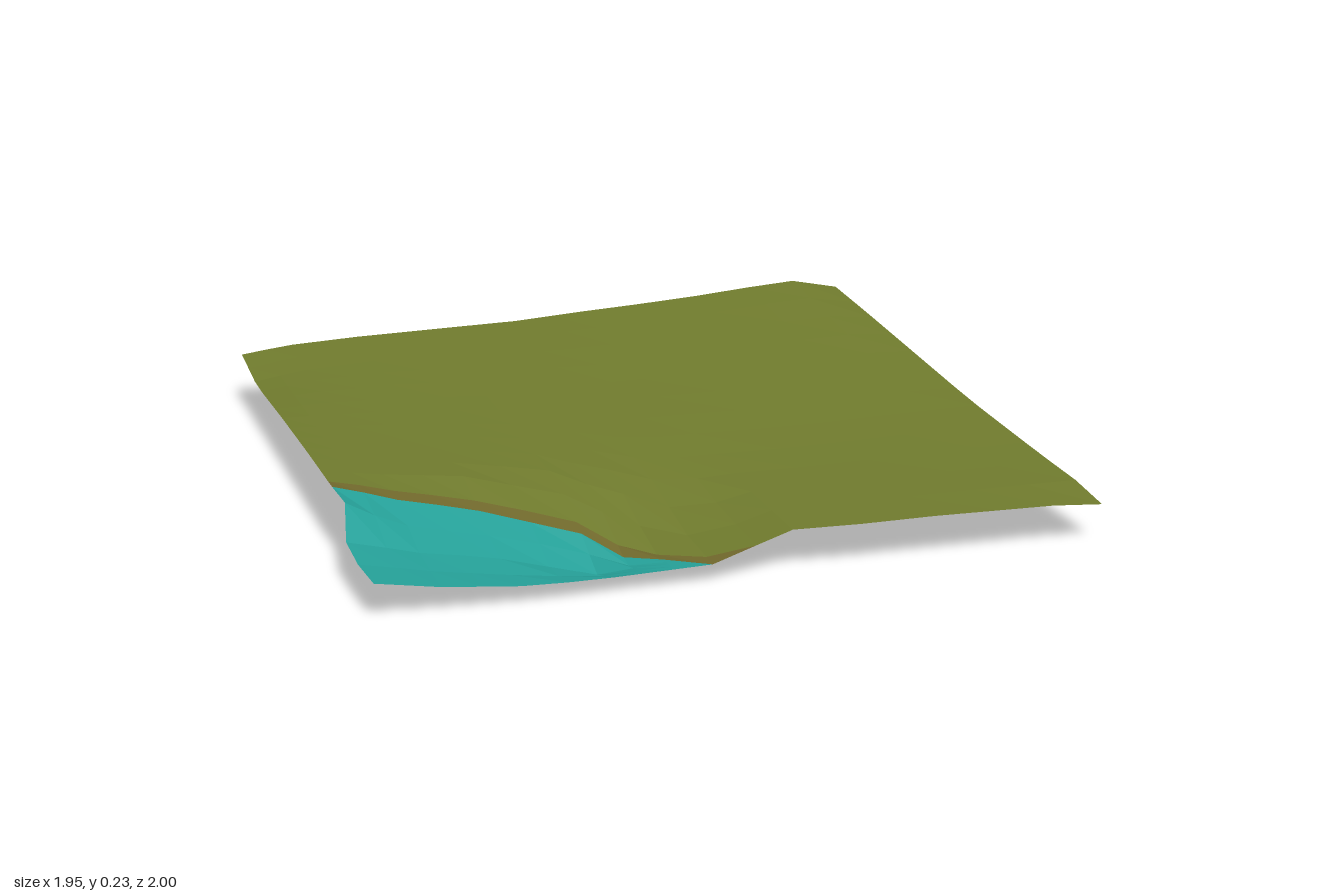
import * as THREE from 'three';

// Piecewise-linear lookup through [position, value] pairs
function curve(points, t) {
  if (t <= points[0][0]) return points[0][1];
  for (let i = 1; i < points.length; i++) {
    const [a, va] = points[i - 1], [b, vb] = points[i];
    if (t <= b) return va + (vb - va) * (t - a) / (b - a);
  }
  return points[points.length - 1][1];
}

// Outline of the sheet and the shoreline, as z over x
const backEdge = [[-1, -0.95], [0.2, -0.95], [0.4, -0.975], [0.72, -1], [0.84, -1], [0.97, -0.98]];
const frontEdge = [[-0.97, 0.995], [-0.48, 0.99], [-0.36, 0.98], [-0.1, 0.98], [0.12, 0.96], [0.35, 0.98]];
const shoreline = [[-0.97, 0.42], [-0.8, 0.5], [-0.6, 0.57], [-0.36, 0.69], [-0.28, 0.8], [-0.2, 0.88], [-0.1, 0.98]];
const leftEdge = [[0.4, -0.955], [0.57, -0.95], [0.74, -0.985], [1, -0.97]]; // x over z

// Ground heights: one row per z station, one value per x station
const xs = [-0.97, -0.8, -0.6, -0.36, -0.1, 0.12, 0.5, 0.83, 0.97];
const heights = [
  [-0.98, [0.15, 0.167, 0.175, 0.18, 0.185, 0.2, 0.21, 0.23, 0.205]],
  [-0.7, [0.12, 0.15, 0.165, 0.17, 0.175, 0.18, 0.19, 0.2, 0.19]],
  [-0.3, [0.14, 0.15, 0.155, 0.155, 0.155, 0.155, 0.16, 0.165, 0.165]],
  [0.1, [0.155, 0.15, 0.15, 0.145, 0.14, 0.135, 0.13, 0.135, 0.14]],
  [0.4, [0.162, 0.155, 0.15, 0.135, 0.12, 0.115, 0.12, 0.125, 0.13]],
  [0.57, [0.165, 0.125, 0.11, 0.1, 0.1, 0.115, 0.12, 0.12, 0.125]],
  [0.7, [0.11, 0.08, 0.07, 0.06, 0.06, 0.115, 0.12, 0.12, 0.122]],
  [0.83, [0.1, 0.07, 0.04, 0, 0.06, 0.115, 0.12, 0.12, 0.12]],
  [0.98, [0.1, 0.072, 0.052, 0.045, 0.052, 0.115, 0.12, 0.115, 0.105]],
];
const heightAt = (x, z) =>
  curve(heights.map(([rowZ, row]) => [rowZ, curve(row.map((y, i) => [xs[i], y]), x)]), z);

// Columns of the sheet, and rows in each of its three bands
const columns = [-0.97, -0.88, -0.8, -0.7, -0.6, -0.48, -0.36, -0.28, -0.2, -0.1,
  0.02, 0.12, 0.3, 0.5, 0.68, 0.83, 0.97];
const LAND = 12, BANK = 1, WATER = 4;

function columnPoints(x) {
  const back = curve(backEdge, x), front = curve(frontEdge, x);
  const shore = x < -0.09 ? Math.min(curve(shoreline, x), front) : front;
  const bank = x < -0.09 ? shore - 0.05 : front;
  const zs = [];
  for (let i = 0; i <= LAND; i++) zs.push(back + (bank - back) * i / LAND);
  zs.push(shore);
  for (let i = 1; i <= WATER; i++) zs.push(shore + (front - shore) * i / WATER);
  return zs.map((z) => {
    const px = x === columns[0] ? curve(leftEdge, z) : x;
    return new THREE.Vector3(px, heightAt(x, z), z);
  });
}

// Joins neighbouring columns between two rows, leaving out collapsed triangles
function bandGeometry(grid, from, to) {
  const positions = [];
  const triangle = (a, b, c) => {
    if (new THREE.Triangle(a, b, c).getArea() < 1e-6) return;
    for (const p of [a, b, c]) positions.push(p.x, p.y, p.z);
  };
  for (let i = 0; i < grid.length - 1; i++) {
    for (let j = from; j < to; j++) {
      const a = grid[i][j], b = grid[i][j + 1], c = grid[i + 1][j + 1], d = grid[i + 1][j];
      triangle(a, b, c);
      triangle(a, c, d);
    }
  }
  const geometry = new THREE.BufferGeometry();
  geometry.setAttribute('position', new THREE.Float32BufferAttribute(positions, 3));
  geometry.computeVertexNormals();
  return geometry;
}

function flatMaterial(name, color) {
  const material = new THREE.MeshStandardMaterial({ color, flatShading: true, side: THREE.DoubleSide });
  material.name = name;
  return material;
}

export function createModel() {
  const group = new THREE.Group();
  group.name = 'terrainTile';
  const grid = columns.map(columnPoints);
  const add = (name, from, to, material) => {
    const mesh = new THREE.Mesh(bandGeometry(grid, from, to), material);
    mesh.name = name;
    group.add(mesh);
  };
  // Grassy slope, muddy strip along the shore, and the pool in the corner
  add('grassland', 0, LAND, flatMaterial('olive grass', 0x6f7a2d));
  add('muddyBank', LAND, LAND + BANK, flatMaterial('brown mud', 0x6f672b));
  add('pool', LAND + BANK, LAND + BANK + WATER, flatMaterial('teal water', 0x25a098));
  return group;
}
